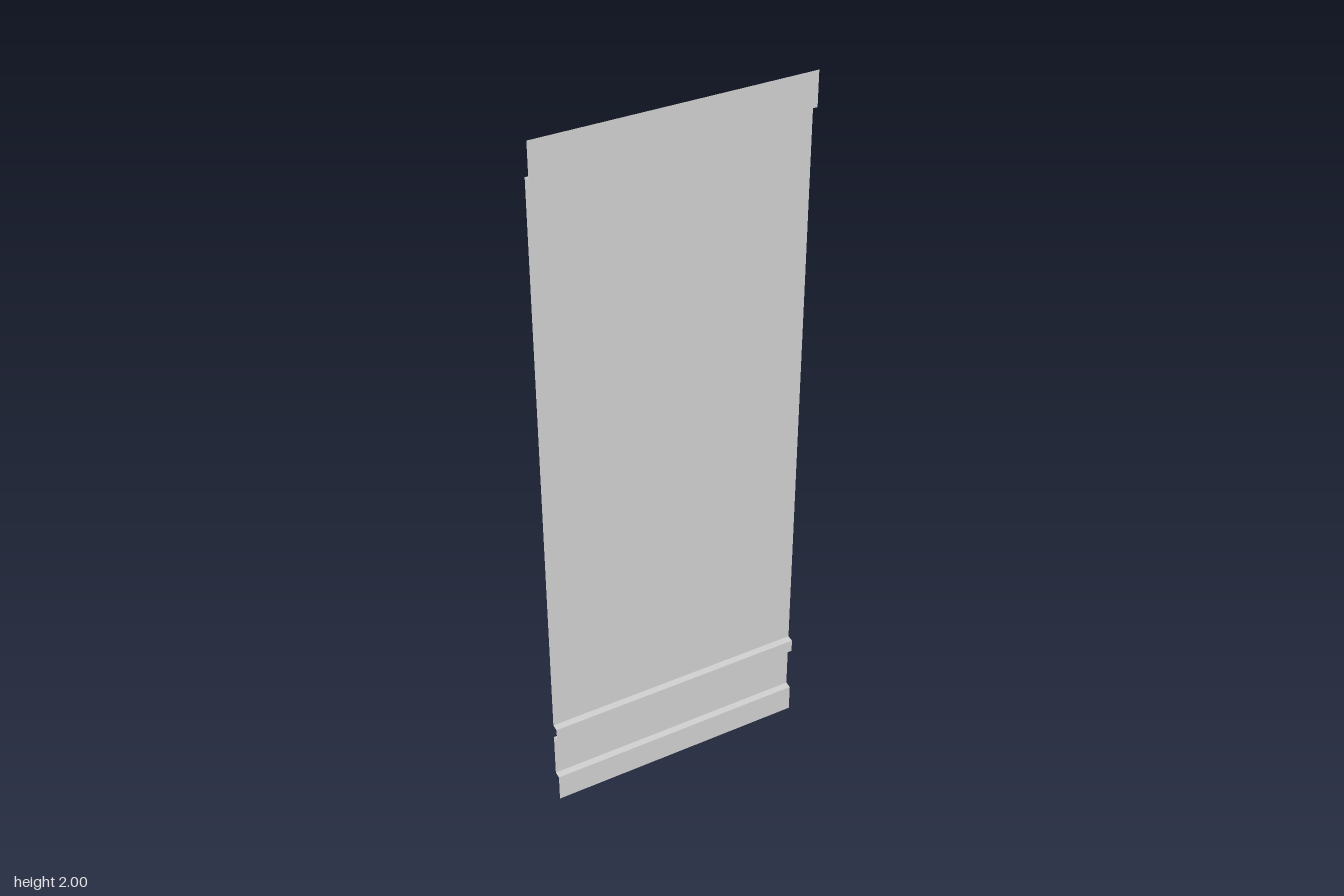
import * as THREE from 'three';

const HALF_WIDTH = 0.372;
const FRONT = 0.0095;
const BACK = -0.0095;

// Flat strip of sheet spanning the full width between two (y, z) profile points
function strip(name, [y0, z0], [y1, z1], material) {
  const length = Math.hypot(y1 - y0, z1 - z0);
  const geometry = new THREE.PlaneGeometry(HALF_WIDTH * 2, length);
  geometry.rotateX(Math.atan2(z1 - z0, y1 - y0));
  geometry.translate(0, (y0 + y1) / 2, (z0 + z1) / 2);
  const mesh = new THREE.Mesh(geometry, material);
  mesh.name = name;
  return mesh;
}

export function createModel() {
  const group = new THREE.Group();
  group.name = 'foldedPanel';
  const material = new THREE.MeshStandardMaterial({ color: 0xcccccc, side: THREE.DoubleSide });

  // Side profile of the folded sheet, bottom to top, as [y, z]
  const profile = [
    [0, FRONT], [0.082, FRONT],
    [0.084, BACK], [0.219, BACK],
    [0.221, FRONT], [0.26, FRONT],
    [0.262, BACK], [1.904, BACK],
    [1.906, FRONT], [2, FRONT],
  ];
  const names = [
    'bottomFlange', 'bottomFlangeStep', 'lowerPanel', 'ribLowerStep', 'rib',
    'ribUpperStep', 'mainPanel', 'topFlangeStep', 'topFlange',
  ];
  names.forEach((name, i) => group.add(strip(name, profile[i], profile[i + 1], material)));

  return group;
}
